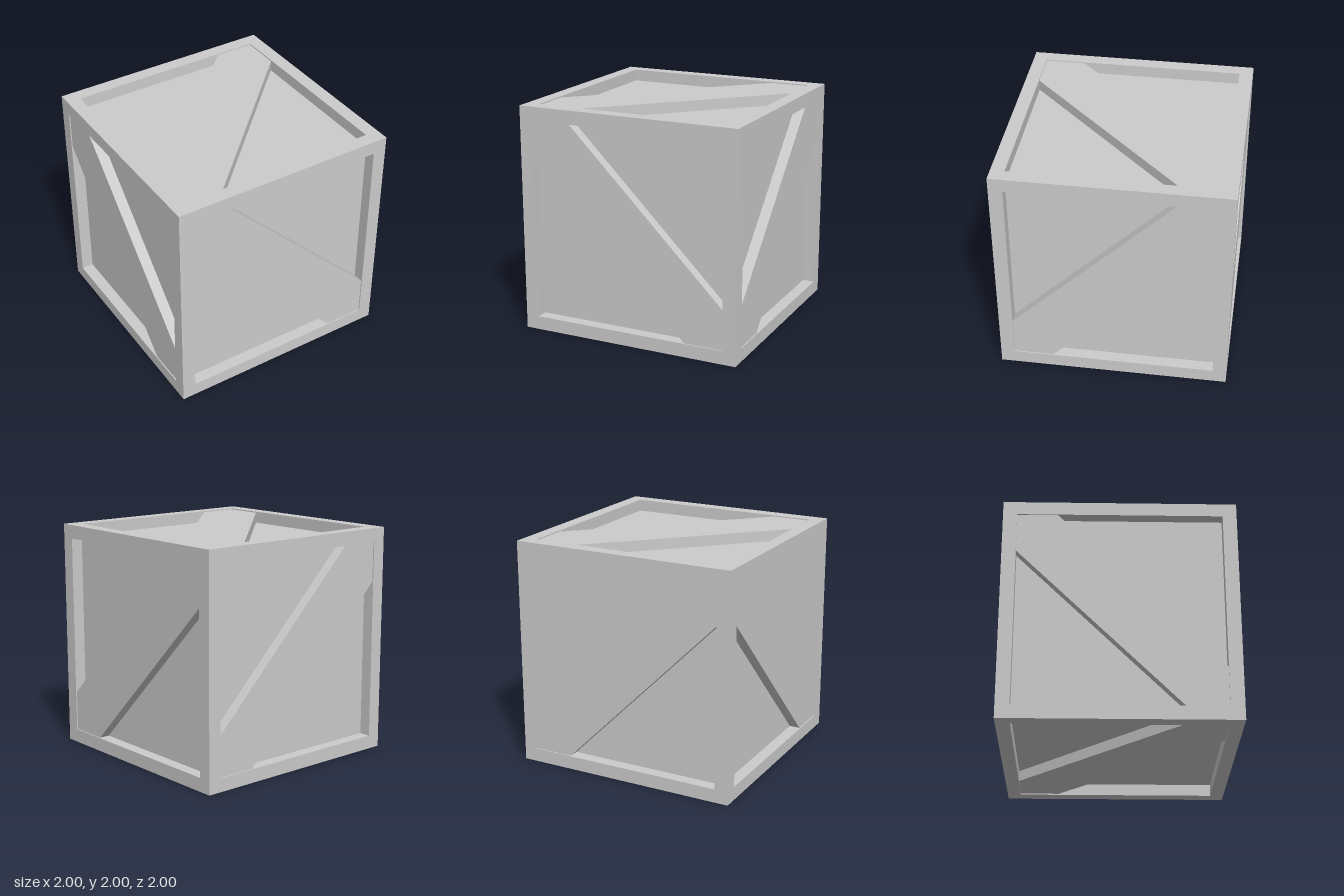
import * as THREE from 'three';

const OUTER = 1;       // half size of the crate
const BEAM = 0.12;     // frame beam thickness
const INNER = OUTER - BEAM;
const PANEL = 0.895;   // half size of the inner box
const BRACE_FACE = 0.99;
const BAND = 0.35;     // diagonal brace spans |x + y| <= BAND

export function createModel() {
  const model = new THREE.Group();
  model.name = 'crate';
  const material = new THREE.MeshStandardMaterial({ color: 0xcccccc, flatShading: true });

  const add = (parent, name, geometry, x = 0, y = 0, z = 0) => {
    const mesh = new THREE.Mesh(geometry, material);
    mesh.name = name;
    mesh.position.set(x, y, z);
    parent.add(mesh);
    return mesh;
  };

  // Everything is built around the crate's centre, then lifted onto the ground
  const body = new THREE.Group();
  body.name = 'body';
  body.position.y = OUTER;
  model.add(body);

  // Inner box forming the six recessed panels
  add(body, 'panels', new THREE.BoxGeometry(2 * PANEL, 2 * PANEL, 2 * PANEL));

  // Frame: four full-height posts with rails fitted between them
  const c = OUTER - BEAM / 2;
  const post = new THREE.BoxGeometry(BEAM, 2 * OUTER, BEAM);
  const railX = new THREE.BoxGeometry(2 * INNER, BEAM, BEAM);
  const railZ = new THREE.BoxGeometry(BEAM, BEAM, 2 * INNER);
  for (const a of [-c, c]) {
    for (const b of [-c, c]) {
      add(body, 'cornerPost', post, a, 0, b);
      add(body, 'crossRail', railX, 0, a, b);
      add(body, 'sideRail', railZ, a, b, 0);
    }
  }

  // Diagonal brace, clipped to the frame opening and set just below the frame
  const tip = INNER - BAND;
  const outline = new THREE.Shape([
    [-INNER, INNER], [-INNER, tip], [tip, -INNER],
    [INNER, -INNER], [INNER, -tip], [-tip, INNER],
  ].map(([x, y]) => new THREE.Vector2(x, y)));
  const brace = new THREE.ExtrudeGeometry(outline, { depth: BRACE_FACE - INNER, bevelEnabled: false });

  // One pair of braces for each pair of opposite faces
  const pairs = [
    ['frontBackBraces', 0, 0],
    ['sideBraces', 0, -Math.PI / 2],
    ['topBottomBraces', Math.PI / 2, 0],
  ];
  for (const [name, rx, ry] of pairs) {
    const pair = new THREE.Group();
    pair.name = name;
    pair.rotation.set(rx, ry, 0);
    for (const z of [INNER, -BRACE_FACE]) add(pair, 'diagonalBrace', brace, 0, 0, z);
    body.add(pair);
  }

  return model;
}
